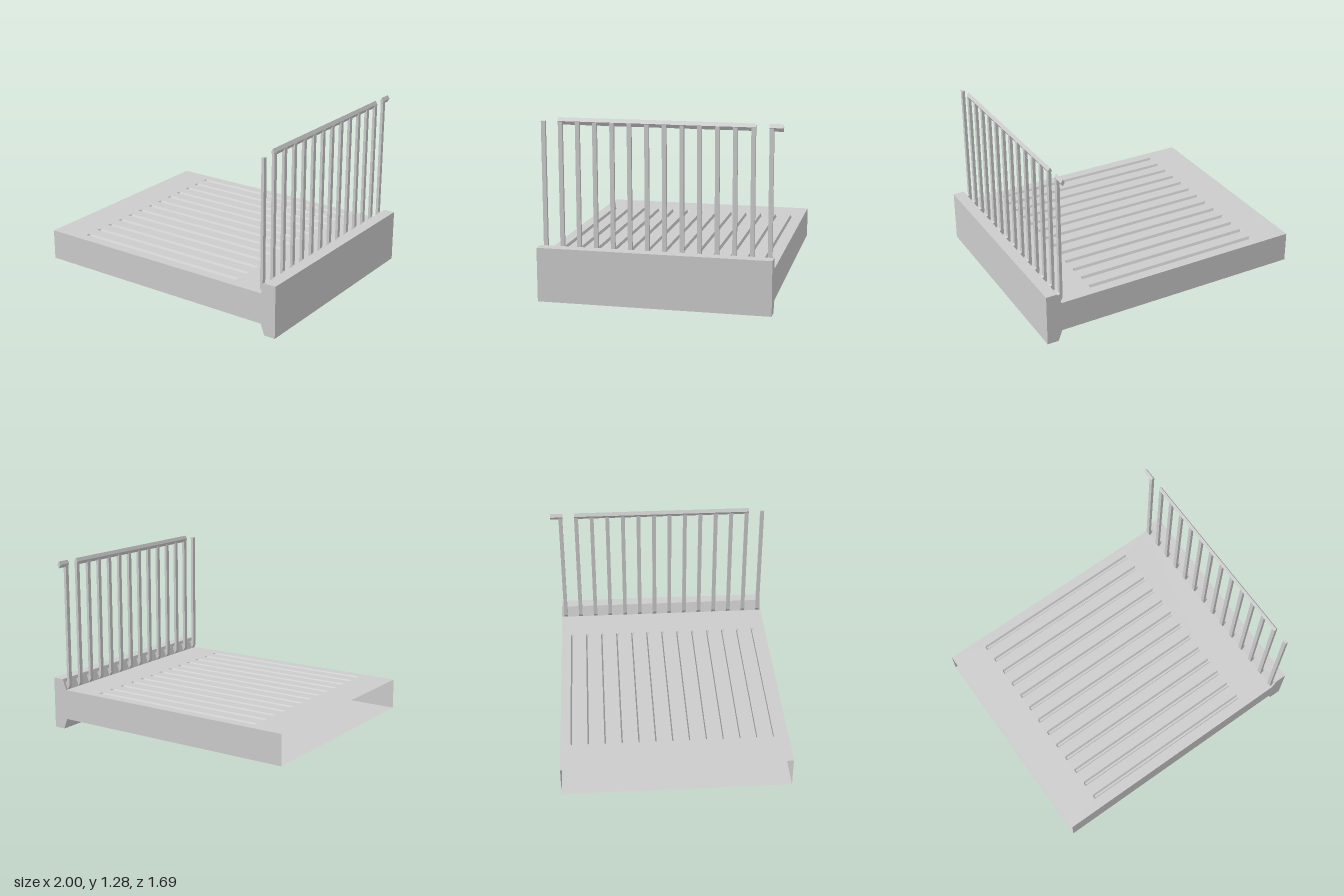
import * as THREE from 'three';

const Z0 = -0.8, Z1 = 0.845; // back and front of the slab
const STEP = 0.1217;         // spacing shared by bars and grooves

const material = new THREE.MeshStandardMaterial({
  color: 0xcccccc, flatShading: true, side: THREE.DoubleSide,
});

function add(parent, name, geometry) {
  const mesh = new THREE.Mesh(geometry, material);
  mesh.name = name;
  parent.add(mesh);
  return mesh;
}

// Slab and curb outline seen from the front; the left end stays open.
const PROFILE = [
  [-1, 0.08], [0.885, 0.08], [0.915, 0], [1, 0],
  [1, 0.385], [0.915, 0.385], [0.885, 0.305],
];

function shellGeometry() {
  const g = new THREE.PlaneGeometry(1, 1, PROFILE.length - 1, 1);
  const p = g.attributes.position;
  for (let i = 0; i < p.count; i++) {
    const [x, y] = PROFILE[i % PROFILE.length];
    p.setXYZ(i, x, y, i < PROFILE.length ? Z0 : Z1);
  }
  g.computeVertexNormals();
  return g;
}

// Groove: a 3 x 3 grid whose inner vertices are pushed down.
const GROOVE = { x0: -0.74, x1: 0.625, half: 0.0175, depth: 0.018 };

function grooveGeometry() {
  const { x0, x1, half, depth } = GROOVE;
  const xs = [x0, x0 + 0.01, x1 - 0.01, x1];
  const zs = [-half, -half * 0.4, half * 0.4, half];
  const g = new THREE.PlaneGeometry(1, 1, 3, 3);
  const p = g.attributes.position;
  for (let i = 0; i < p.count; i++) {
    const c = i % 4, r = Math.floor(i / 4);
    const inner = c % 3 !== 0 && r % 3 !== 0;
    p.setXYZ(i, xs[c], inner ? -depth : 0, zs[r]);
  }
  g.computeVertexNormals();
  return g;
}

// Upright bar with a foot that bends into the curb's slope.
function barGeometry() {
  const outline = [
    [0.867, 1.255], [0.867, 0.335], [0.885, 0.307],
    [0.908, 0.36], [0.888, 0.37], [0.888, 1.255],
  ];
  const shape = new THREE.Shape(outline.map(([x, y]) => new THREE.Vector2(x, y)));
  const g = new THREE.ExtrudeGeometry(shape, { depth: 0.03, bevelEnabled: false });
  return g.translate(0, 0, -0.015);
}

// Diamond-section handrail between two z positions.
function railGeometry(za, zb) {
  const g = new THREE.CylinderGeometry(1, 1, Math.abs(zb - za), 4);
  g.rotateX(Math.PI / 2);
  g.scale(0.014, 0.025, 1);
  return g.translate(0.875, 1.258, (za + zb) / 2);
}

export function createModel() {
  const model = new THREE.Group();
  model.name = 'balcony';

  const floor = new THREE.Group();
  floor.name = 'floor';
  model.add(floor);
  add(floor, 'slabAndCurbShell', shellGeometry());

  // Closed front and back sides
  const outline = [...PROFILE, [-1, 0.305]].map(([x, y]) => new THREE.Vector2(x, y));
  const side = new THREE.ShapeGeometry(new THREE.Shape(outline));
  add(floor, 'frontSide', side).position.z = Z1;
  const back = side.clone();
  back.setIndex([...side.index.array].reverse());
  back.computeVertexNormals();
  add(floor, 'backSide', back).position.z = Z0;

  // Deck with openings for the grooves (shape y becomes -z)
  const deck = new THREE.Shape([
    new THREE.Vector2(-1, -Z1), new THREE.Vector2(0.885, -Z1),
    new THREE.Vector2(0.885, -Z0), new THREE.Vector2(-1, -Z0),
  ]);
  const { x0, x1, half } = GROOVE;
  const groove = grooveGeometry();
  for (let i = 0; i < 13; i++) {
    const z = -0.71 + i * STEP;
    deck.holes.push(new THREE.Path([
      new THREE.Vector2(x0, -z - half), new THREE.Vector2(x0, -z + half),
      new THREE.Vector2(x1, -z + half), new THREE.Vector2(x1, -z - half),
    ]));
    add(floor, 'groove', groove).position.set(0, 0.305, z);
  }
  const top = new THREE.ShapeGeometry(deck).rotateX(-Math.PI / 2);
  add(floor, 'deck', top).position.y = 0.305;

  // Railing
  const railing = new THREE.Group();
  railing.name = 'railing';
  model.add(railing);
  const bar = barGeometry();
  for (let i = 0; i < 14; i++) {
    add(railing, 'bar', bar).position.z = 0.815 - i * STEP;
  }
  add(railing, 'handrail', railGeometry(0.71, -0.66));
  add(railing, 'handrailStub', railGeometry(-0.75, -0.845));

  return model;
}
